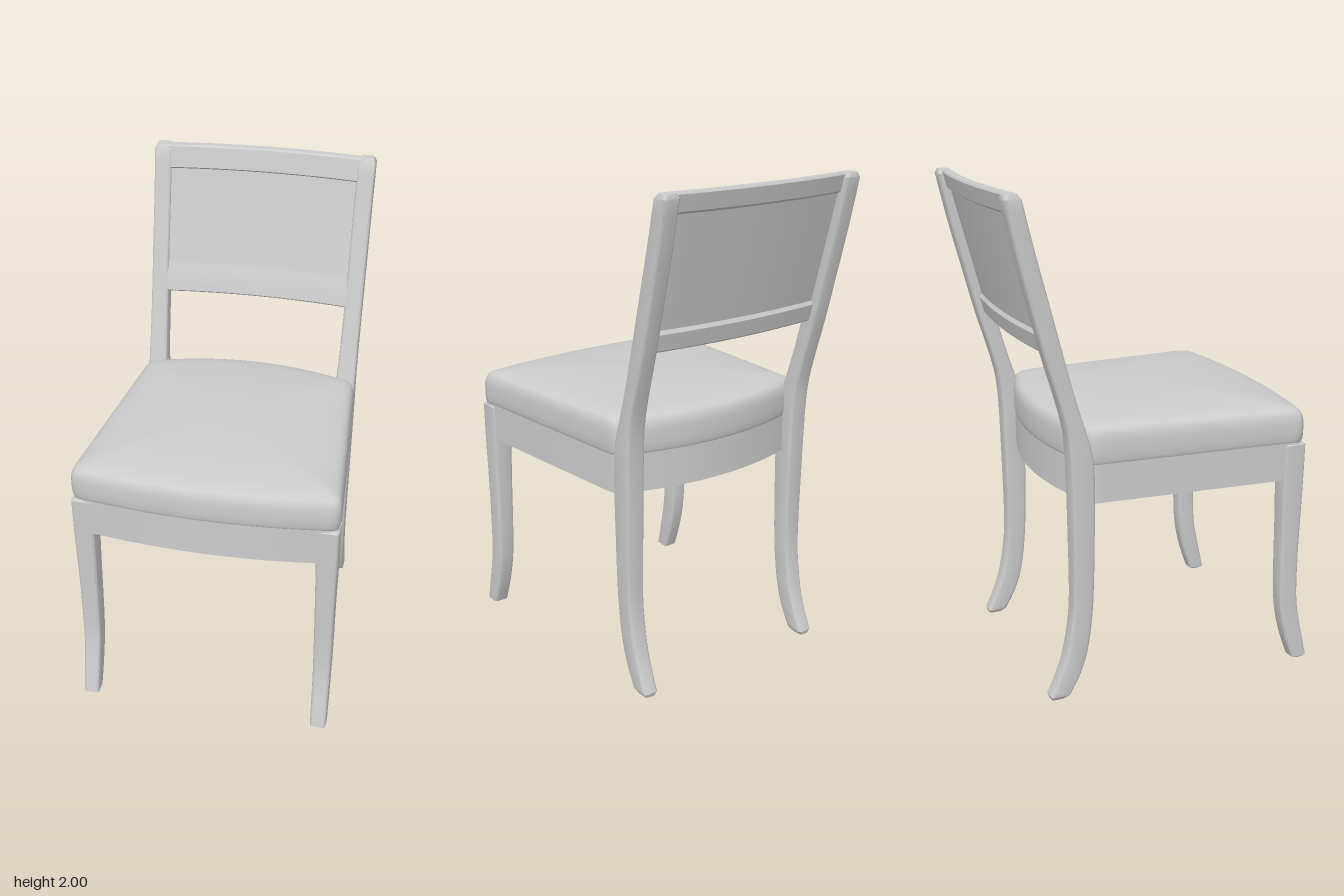
import * as THREE from 'three';
import { toCreasedNormals } from 'three/addons/utils/BufferGeometryUtils.js';

const material = new THREE.MeshStandardMaterial({ color: 0xcccccc });

function addMesh(parent, name, geometry, crease = 0.6) {
  const mesh = new THREE.Mesh(toCreasedNormals(geometry, crease), material);
  mesh.name = name;
  parent.add(mesh);
  return mesh;
}

// Skin a stack of rings (bottom to top) and close both ends.
function loft(rings, bottom, top) {
  const n = rings[0].length;
  const points = [...rings.flat(), bottom, top];
  const index = [];
  const low = rings.length * n;
  const lastRing = low - n;
  for (let j = 0; j < n; j++) {
    const k = (j + 1) % n;
    for (let i = 0; i < rings.length - 1; i++) {
      const a = i * n + j, b = i * n + k;
      index.push(a, b, b + n, a, b + n, a + n);
    }
    index.push(low, k, j, low + 1, lastRing + j, lastRing + k);
  }
  const geometry = new THREE.BufferGeometry().setFromPoints(points);
  geometry.setIndex(index);
  return geometry;
}

// Horizontal rectangle with rounded corners, between a front and a back edge.
function roundedRing(front, back, inset, y) {
  const x0 = front.x + inset, x1 = back.x - inset;
  const z0 = back.z + inset, z1 = front.z - inset;
  const r = 0.012;
  const corners = [[x1 - r, z0 + r], [x0 + r, z0 + r], [x0 + r, z1 - r], [x1 - r, z1 - r]];
  const ring = [];
  corners.forEach(([cx, cz], q) => {
    for (let s = 0; s <= 3; s++) {
      const a = (q + s / 3) * Math.PI / 2;
      ring.push(new THREE.Vector3(cx + r * Math.cos(a), y, cz - r * Math.sin(a)));
    }
  });
  return ring;
}

// Curved leg from keys of [y, front z, back z, inner x, outer x].
function legGeometry(keys) {
  const front = new THREE.CatmullRomCurve3(
    keys.map(([y, zf, , xi]) => new THREE.Vector3(xi, y, zf)), false, 'catmullrom');
  const back = new THREE.CatmullRomCurve3(
    keys.map(([y, , zb, , xo]) => new THREE.Vector3(xo, y, zb)), false, 'catmullrom');
  const steps = 40;
  const ts = [0, 0.012];
  for (let i = 1; i < steps; i++) ts.push(i / steps);
  ts.push(0.993, 1);
  const rings = ts.map((t) => {
    const f = front.getPoint(t), b = back.getPoint(t);
    return roundedRing(f, b, t === 0 || t === 1 ? 0.01 : 0, f.y);
  });
  const middle = (t) => front.getPoint(t).add(back.getPoint(t)).multiplyScalar(0.5);
  return loft(rings, middle(0), middle(1));
}

// Seat plan, drawn with -z as the vertical axis: bowed front, tapered sides, bowed back.
function seatOutline(i) {
  const s = new THREE.Shape();
  s.moveTo(-0.49 + i, -0.58 + i);
  s.quadraticCurveTo(0, -0.66 + i, 0.49 - i, -0.58 + i);
  s.quadraticCurveTo(0.527 - i, -0.575 + i, 0.525 - i, -0.54 + i);
  s.lineTo(0.46 - i, 0.28 - i);
  s.quadraticCurveTo(0.455 - i, 0.315 - i, 0.425 - i, 0.325 - i);
  s.quadraticCurveTo(0, 0.48 - i, -0.425 + i, 0.325 - i);
  s.quadraticCurveTo(-0.455 + i, 0.315 - i, -0.46 + i, 0.28 - i);
  s.lineTo(-0.525 + i, -0.54 + i);
  s.quadraticCurveTo(-0.527 + i, -0.575 + i, -0.49 + i, -0.58 + i);
  return s;
}

// Padded seat: the outline stacked, with a rounded rim and a low dome.
function cushionGeometry() {
  const outline = seatOutline(0).getSpacedPoints(160).slice(0, -1);
  const levels = [
    [0.962, 0.975], [0.972, 0.99], [0.985, 0.997], [1.01, 1], [1.06, 1], [1.085, 0.993],
    [1.1, 0.98], [1.11, 0.96], [1.118, 0.925], [1.126, 0.84], [1.137, 0.65],
    [1.144, 0.45], [1.147, 0.2],
  ];
  const centre = 0.1;
  const rings = levels.map(([y, k]) => outline.map((p) => {
    const z = centre + (-p.y - centre) * k;
    const tilt = y > 1.05 ? -0.012 * z : 0;
    return new THREE.Vector3(p.x * k, y + tilt, z);
  }));
  return loft(rings, new THREE.Vector3(0, 0.962, centre), new THREE.Vector3(0, 1.148, centre));
}

// Hollow frame under the cushion.
function apronGeometry() {
  const shape = seatOutline(0.004);
  shape.holes.push(new THREE.Path(seatOutline(0.04).getPoints(24)));
  const geometry = new THREE.ExtrudeGeometry(shape, {
    depth: 0.155, curveSegments: 24, bevelEnabled: false,
  });
  return geometry.rotateX(-Math.PI / 2).translate(0, 0.818, 0);
}

// Backrest: a section of [depth, y] with recessed faces, run across, leaned and bowed.
function backrestGeometry() {
  const section = [
    [0.006, 1.4], [0.038, 1.4], [0.043, 1.406], [0.043, 1.47], [0.03, 1.485],
    [0.03, 1.92], [0.043, 1.93], [0.043, 1.992], [0.036, 2], [0.006, 2],
    [0, 1.994], [0, 1.912], [0.01, 1.905], [0.01, 1.53], [0.007, 1.505],
    [0, 1.48], [0, 1.406],
  ];
  const shape = new THREE.Shape(section.map(([d, y]) => new THREE.Vector2(d, y)));
  const width = 0.82;
  const geometry = new THREE.ExtrudeGeometry(shape, { depth: width, steps: 28, bevelEnabled: false });
  const pos = geometry.attributes.position;
  for (let i = 0; i < pos.count; i++) {
    const x = pos.getZ(i) - width / 2, y = pos.getY(i), depth = pos.getX(i);
    const lean = -0.412 - (y - 1.4) * 0.262;
    const bow = -0.03 * (1 - (x / 0.41) ** 2);
    pos.setXYZ(i, x, y, lean + bow - depth);
  }
  return geometry;
}

export function createModel() {
  const chair = new THREE.Group();
  chair.name = 'chair';

  addMesh(chair, 'seatCushion', cushionGeometry(), 0.9);
  addMesh(chair, 'seatApron', apronGeometry());
  addMesh(chair, 'backrestPanel', backrestGeometry(), 0.5);

  // Front legs kick forward at the foot.
  const frontLeg = legGeometry([
    [0, 0.637, 0.57, 0.453, 0.517], [0.1, 0.615, 0.535, 0.451, 0.517],
    [0.2, 0.592, 0.51, 0.449, 0.517], [0.3, 0.578, 0.498, 0.447, 0.518],
    [0.45, 0.575, 0.494, 0.445, 0.519], [0.6, 0.577, 0.493, 0.443, 0.52],
    [0.8, 0.581, 0.49, 0.44, 0.523], [0.97, 0.583, 0.49, 0.437, 0.524],
  ]);
  // Back legs sweep rearward at the foot and lean back above the seat.
  const backLeg = legGeometry([
    [0, -0.41, -0.49, 0.382, 0.446], [0.1, -0.357, -0.445, 0.38, 0.446],
    [0.2, -0.326, -0.413, 0.378, 0.447], [0.35, -0.306, -0.388, 0.376, 0.449],
    [0.5, -0.299, -0.383, 0.374, 0.451], [0.67, -0.296, -0.385, 0.373, 0.453],
    [0.85, -0.294, -0.388, 0.373, 0.455], [1, -0.3, -0.393, 0.374, 0.456],
    [1.12, -0.332, -0.406, 0.377, 0.456], [1.25, -0.372, -0.44, 0.381, 0.456],
    [1.4, -0.412, -0.485, 0.384, 0.457], [1.6, -0.464, -0.537, 0.387, 0.459],
    [1.8, -0.517, -0.588, 0.389, 0.461], [2, -0.566, -0.632, 0.391, 0.464],
  ]);
  for (const [side, sign] of [['left', 1], ['right', -1]]) {
    for (const [name, geometry] of [['FrontLeg', frontLeg], ['BackLegAndStile', backLeg]]) {
      const leg = addMesh(chair, side + name, geometry);
      leg.scale.x = sign;
    }
  }
  return chair;
}
